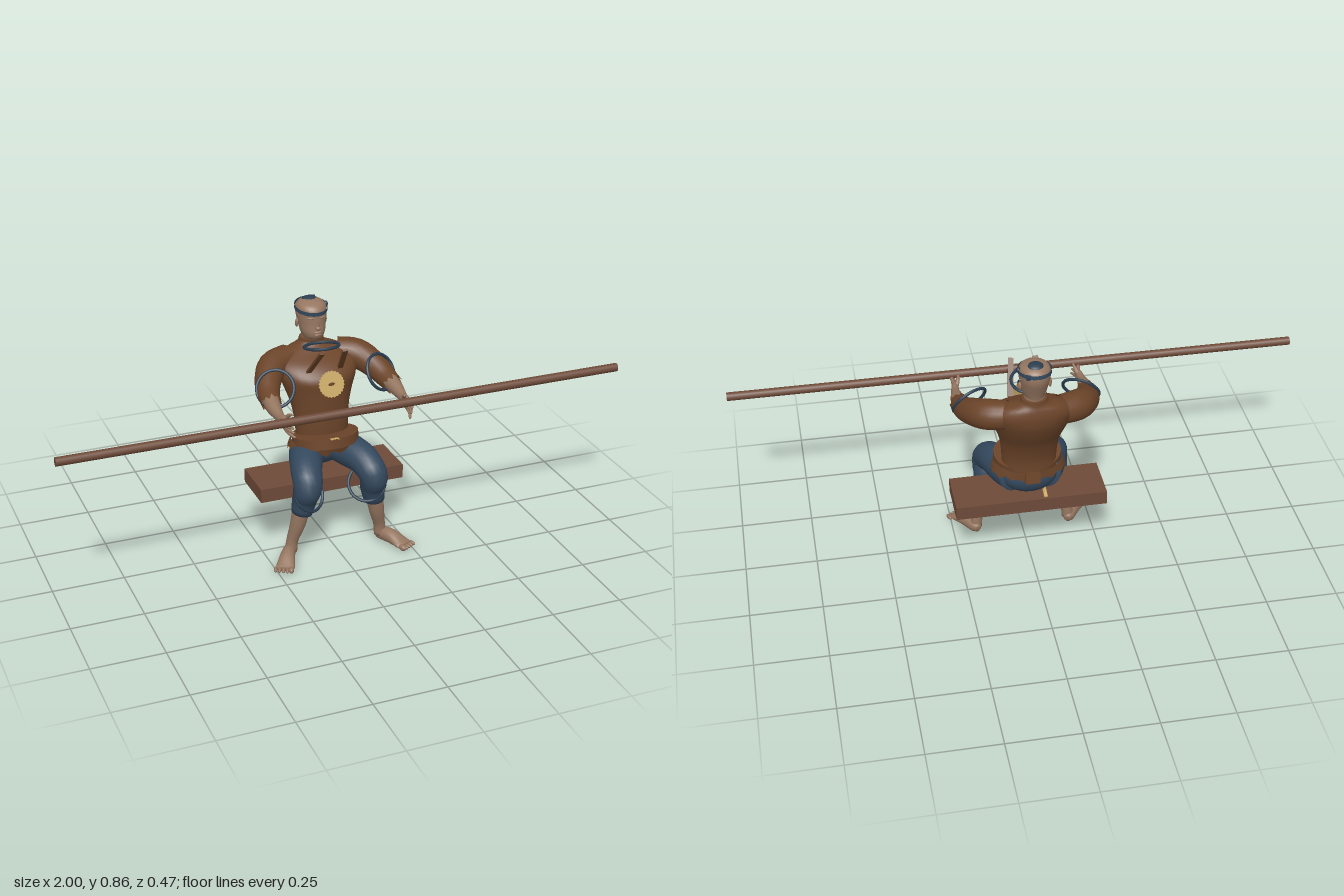
import * as THREE from 'three';

const mat = (name, color, side = THREE.FrontSide) => {
  const m = new THREE.MeshStandardMaterial({ color, side });
  m.name = name;
  return m;
};
const V = (x, y, z) => new THREE.Vector3(x, y, z);

// Smooth body through elliptical sections [x, y, z, r1, r2]; r1 lies along ref.
// A fixed axis keeps all sections parallel; jag makes a torn last edge.
function loft(pts, ref, { axis = null, n = 20, steps = 4, jag = 0, open = false } = {}) {
  const path = new THREE.CatmullRomCurve3(pts.map(p => V(p[0], p[1], p[2])), false, 'catmullrom');
  const size = new THREE.CatmullRomCurve3(pts.map(p => V(p[3], p[4] ?? p[3], 0)), false, 'catmullrom');
  const rows = (pts.length - 1) * steps, pos = [], idx = [];
  for (let i = 0; i <= rows; i++) {
    const c = path.getPoint(i / rows), r = size.getPoint(i / rows);
    const T = axis ? axis.clone() : path.getTangent(i / rows);
    const side = ref.clone().addScaledVector(T, -ref.dot(T)).normalize();
    const nor = T.clone().cross(side);
    for (let j = 0; j < n; j++) {
      const a = j / n * Math.PI * 2;
      const p = c.clone().addScaledVector(side, r.x * Math.cos(a)).addScaledVector(nor, r.y * Math.sin(a));
      if (i === rows && jag) p.addScaledVector(T, jag * [0, 1, 0.3, 0.7][j % 4]);
      pos.push(p.x, p.y, p.z);
      if (i < rows) {
        const k = (j + 1) % n, A = i * n + j, B = i * n + k;
        idx.push(A, B, A + n, B, B + n, A + n);
      }
    }
  }
  if (!open) {
    const s = pos.length / 3, a = path.getPoint(0), b = path.getPoint(1);
    pos.push(a.x, a.y, a.z, b.x, b.y, b.z);
    for (let j = 0; j < n; j++) {
      const k = (j + 1) % n;
      idx.push(s, k, j, s + 1, rows * n + j, rows * n + k);
    }
  }
  const g = new THREE.BufferGeometry();
  g.setAttribute('position', new THREE.Float32BufferAttribute(pos, 3));
  g.setIndex(idx);
  g.computeVertexNormals();
  return g;
}

// Upright body from rows [y, front z, back z, half width]
const upright = (rows, opt = {}) => loft(
  rows.map(([y, f, b, w]) => [0, y, (f + b) / 2, w, (f - b) / 2]), V(1, 0, 0), { axis: V(0, 1, 0), n: 28, ...opt });

export function createModel() {
  const root = new THREE.Group();
  const skin = mat('skin', 0x957660);
  const robe = mat('robe brown', 0x6b4429, THREE.DoubleSide);
  const denim = mat('trouser blue', 0x34495e, THREE.DoubleSide);
  const cord = mat('cord blue', 0x2c3e50);
  const wood = mat('wood', 0x6d4a38);
  const gold = mat('gold', 0xc9aa66);
  const X = V(1, 0, 0), Y = V(0, 1, 0);
  const add = (name, geo, m, p = [0, 0, 0], r = [0, 0, 0], s = [1, 1, 1]) => {
    const o = new THREE.Mesh(geo, m);
    o.name = name;
    o.position.set(...p);
    o.rotation.set(...r);
    o.scale.set(...s);
    root.add(o);
    return o;
  };
  const ball = new THREE.SphereGeometry(1, 20, 14);
  const hoop = (name, p, nrm, R = 0.064) => add(name, new THREE.TorusGeometry(R, 0.0055, 8, 36), cord, p)
    .quaternion.setFromUnitVectors(V(0, 0, 1), V(...nrm).normalize());

  // Pole and bench
  add('pole', new THREE.CylinderGeometry(0.015, 0.015, 2, 16), wood, [0, 0.59, 0.213], [0, 0, Math.PI / 2]);
  add('bench', new THREE.BoxGeometry(0.53, 0.05, 0.175), wood, [0, 0.24, -0.0425]);

  // Torso and collar
  add('torso', upright([
    [0.37, 0, -0.128, 0.095], [0.43, 0.002, -0.13, 0.096], [0.5, 0, -0.152, 0.104], [0.56, 0, -0.185, 0.122],
    [0.61, -0.002, -0.207, 0.14], [0.65, -0.04, -0.213, 0.142], [0.68, -0.095, -0.209, 0.105],
    [0.7, -0.122, -0.203, 0.052], [0.72, -0.124, -0.2, 0.042]]), robe);
  add('pelvis', ball, denim, [0, 0.345, -0.07], [0, 0, 0], [0.1, 0.07, 0.066]);

  // Belt with torn skirt and rear knot
  add('belt', new THREE.CylinderGeometry(1, 1, 0.035, 32), robe, [0, 0.39, -0.028], [-0.14, 0, 0], [0.118, 1, 0.098]);
  add('skirt', loft([[0, 0.39, -0.04, 0.12, 0.1], [0, 0.368, -0.045, 0.13, 0.095]], X,
    { axis: V(0, -1, 0), n: 32, steps: 2, jag: 0.018, open: true }), robe);
  add('beltKnot', new THREE.BoxGeometry(0.05, 0.04, 0.012), robe, [0, 0.367, -0.139], [0.15, 0, 0]);
  add('beltClasp', new THREE.BoxGeometry(0.03, 0.012, 0.012), gold, [0, 0.415, 0.06]);

  // Toothed chest disc
  const gear = new THREE.Shape();
  for (let i = 0; i < 48; i++) {
    const a = i / 48 * Math.PI * 2, r = i % 2 ? 0.047 : 0.043;
    gear[i ? 'lineTo' : 'moveTo'](r * Math.cos(a), r * Math.sin(a));
  }
  gear.holes.push(new THREE.Path().absellipse(0, 0, 0.013, 0.006, 0, Math.PI * 2, true));
  add('chestDisc', new THREE.ExtrudeGeometry(gear, { depth: 0.006, bevelEnabled: false }), gold,
    [0, 0.612, 0.027], [-0.28, 0, 0]);
  hoop('collarHoop', [0, 0.718, -0.062], [0, 0.98, -0.2], 0.06);

  // Small peg on the bench
  add('pegStem', new THREE.CylinderGeometry(0.004, 0.004, 0.04, 8), gold, [-0.05, 0.285, -0.098], [0.6, 0, 0]);
  add('pegFoot', new THREE.BoxGeometry(0.012, 0.008, 0.034), gold, [-0.05, 0.271, -0.106], [-0.3, 0, 0]);

  // Head and face
  add('head', upright([
    [0.7, -0.128, -0.195, 0.034], [0.72, -0.122, -0.197, 0.035], [0.73, -0.103, -0.199, 0.036],
    [0.748, -0.097, -0.205, 0.043], [0.775, -0.1, -0.216, 0.048], [0.8, -0.101, -0.225, 0.052],
    [0.825, -0.103, -0.226, 0.053], [0.842, -0.117, -0.216, 0.045], [0.853, -0.145, -0.195, 0.022]]), skin);
  add('nose', new THREE.ConeGeometry(0.011, 0.036, 10), skin, [0, 0.782, -0.096], [0.25, 0, 0]);
  add('noseTip', ball, skin, [0, 0.77, -0.094], [0, 0, 0], [0.009, 0.007, 0.008]);
  add('upperLip', ball, skin, [0, 0.754, -0.098], [0, 0, 0], [0.015, 0.004, 0.006]);
  add('lowerLip', ball, skin, [0, 0.745, -0.097], [0, 0, 0], [0.013, 0.004, 0.006]);

  // Headband, cap and knot
  add('headband', new THREE.CylinderGeometry(1, 1, 0.014, 32, 1, true), denim,
    [0, 0.826, -0.164], [0.11, 0, 0], [0.056, 1, 0.066]);
  add('bandTail', new THREE.BoxGeometry(0.014, 0.007, 0.035), cord, [0.03, 0.833, -0.218], [0.1, -0.3, 0]);
  add('cap', ball, cord, [0, 0.846, -0.179], [0, 0, 0], [0.028, 0.013, 0.026]);
  add('bandKnot', ball, cord, [0.054, 0.829, -0.163], [0, 0, 0], [0.008, 0.01, 0.01]);
  add('hairPin', new THREE.CylinderGeometry(0.003, 0.003, 0.042, 8), cord, [0.055, 0.8, -0.183], [-0.85, 0, 0]);

  for (const s of [-1, 1]) {
    const m = pts => pts.map(([x, ...rest]) => [s * x, ...rest]);
    const side = s > 0 ? 'left' : 'right';

    // Face details and lapel
    add(side + 'Brow', ball, skin, [s * 0.021, 0.803, -0.11], [0, s * 0.3, 0], [0.014, 0.004, 0.007]);
    add(side + 'Ear', ball, skin, [s * 0.051, 0.773, -0.166], [0.25, s * 0.3, 0], [0.006, 0.017, 0.011]);
    add(side + 'Lapel', new THREE.BoxGeometry(0.018, 0.132, 0.008), robe,
      [s * 0.05, 0.69, 0.007], [0.71, 0, s * 0.12]);

    // Arm
    add(side + 'Sleeve', loft(m([[0.09, 0.65, -0.155, 0.05], [0.155, 0.642, -0.125, 0.052],
      [0.195, 0.618, -0.065, 0.046], [0.213, 0.596, -0.01, 0.039], [0.219, 0.586, 0.03, 0.034]]), Y,
      { jag: 0.025, open: true }), robe);
    add(side + 'Forearm', loft(m([[0.212, 0.596, -0.02, 0.03], [0.222, 0.581, 0.06, 0.026],
      [0.222, 0.571, 0.125, 0.018, 0.016], [0.22, 0.567, 0.155, 0.024, 0.013], [0.219, 0.562, 0.182, 0.02, 0.01]]), Y,
      { n: 14 }), skin);
    for (let i = 0; i < 4; i++) {
      const y = 0.577 - i * 0.01, tip = 0.588 - i * 0.017;
      add(side + 'Finger' + (i + 1), loft(m([[0.22, y, 0.172, 0.0065],
        [0.225 - i * 0.003, (y + tip) / 2, 0.2, 0.006], [0.215 - i * 0.003, tip, 0.226 - (i === 0 ? 0.008 : 0), 0.004]]),
        Y, { n: 8 }), skin);
    }
    add(side + 'Thumb', loft(m([[0.218, 0.572, 0.148, 0.008], [0.208, 0.592, 0.168, 0.007],
      [0.203, 0.603, 0.185, 0.004]]), X, { n: 8 }), skin);
    hoop(side + 'ArmHoop', [s * 0.193, 0.617, 0.003], [s * 0.42, 0.49, 0.76]);

    // Leg
    add(side + 'Trouser', loft(m([[0.05, 0.342, -0.075, 0.06], [0.075, 0.335, -0.02, 0.06],
      [0.105, 0.325, 0.06, 0.055], [0.121, 0.288, 0.118, 0.05], [0.126, 0.235, 0.1, 0.044],
      [0.135, 0.18, 0.093, 0.037]]), X), denim);
    add(side + 'Shin', loft(m([[0.135, 0.2, 0.093, 0.031], [0.148, 0.13, 0.086, 0.027],
      [0.163, 0.07, 0.075, 0.021], [0.169, 0.025, 0.073, 0.022]]), X, { n: 16 }), skin);
    add(side + 'Foot', loft(m([[0.166, 0.02, 0.05, 0.012, 0.01], [0.171, 0.024, 0.066, 0.023, 0.021],
      [0.195, 0.026, 0.11, 0.026, 0.026], [0.218, 0.015, 0.152, 0.014, 0.032],
      [0.225, 0.011, 0.168, 0.009, 0.03]]), Y, { n: 16 }), skin);
    for (let i = 0; i < 5; i++) {
      const r = i ? 0.0075 : 0.011;
      add(side + 'Toe' + (i + 1), ball, skin,
        [s * (0.208 + i * 0.0118), r + 0.002, 0.183 - i * 0.007], [0, s * 0.4, 0], [r * 0.85, r, 0.016]);
    }
    hoop(side + 'KneeHoop', [s * 0.108, 0.245, 0.09], [-s * 0.42, 0.49, 0.76]);
  }
  return root;
}
